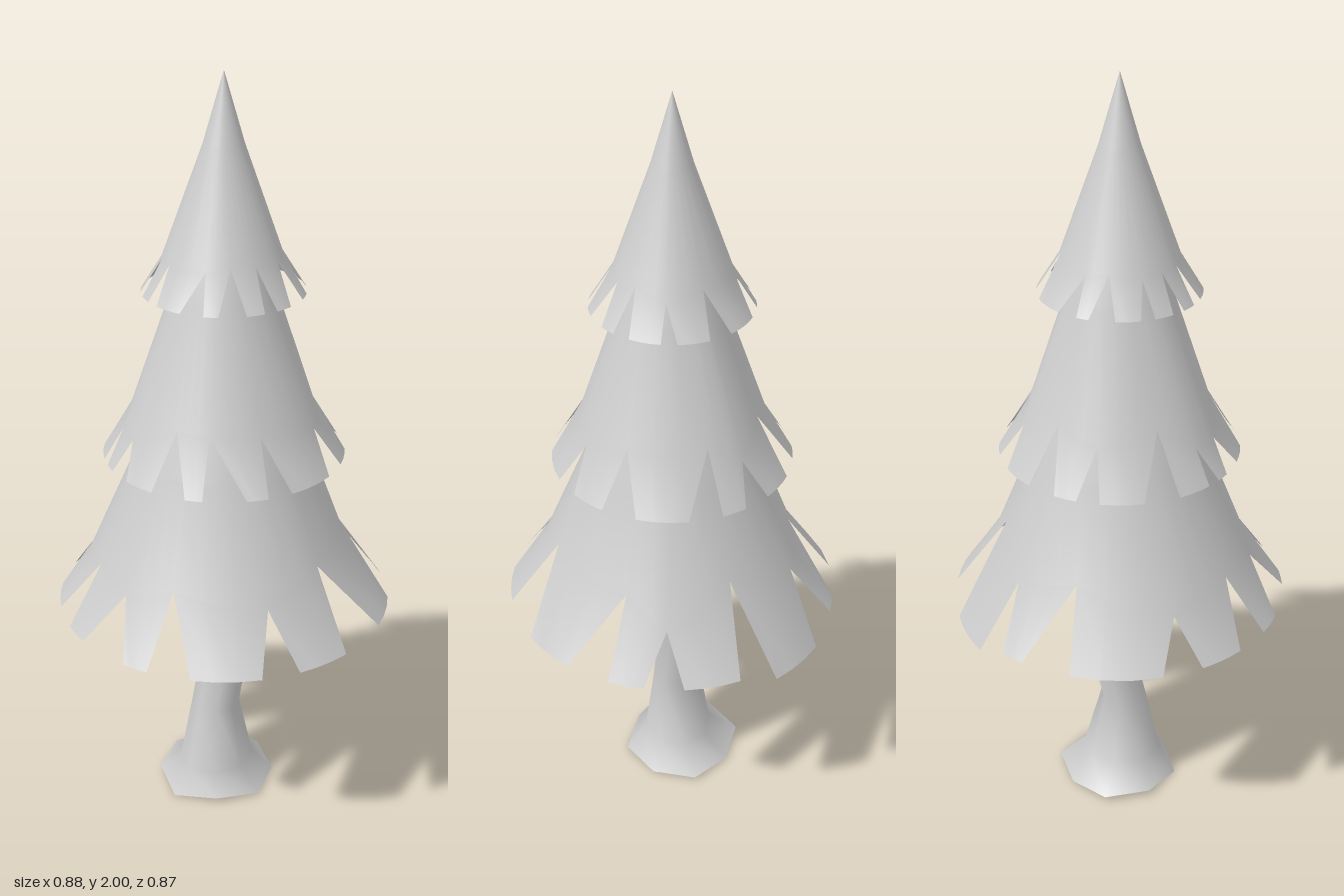
import * as THREE from 'three';

const material = new THREE.MeshStandardMaterial({ color: 0xcccccc, side: THREE.DoubleSide });
const lerp = THREE.MathUtils.lerp;

// Smooth skin over rows of points; each row runs round the y axis from +x towards +z, top row first.
function skin(name, rows) {
  const n = rows[0].length, index = [];
  for (let r = 0; r < rows.length - 1; r++) {
    for (let i = 0; i < n; i++) {
      const a = r * n + i, b = r * n + (i + 1) % n;
      index.push(a, b, a + n, b, b + n, a + n);
    }
  }
  const geometry = new THREE.BufferGeometry();
  geometry.setAttribute('position', new THREE.Float32BufferAttribute(rows.flat(2), 3));
  geometry.setIndex(index);
  geometry.computeVertexNormals();
  const mesh = new THREE.Mesh(geometry, material);
  mesh.name = name;
  return mesh;
}

const polar = (deg, r, y) => {
  const a = THREE.MathUtils.degToRad(deg);
  return [r * Math.cos(a), y, r * Math.sin(a)];
};

// A conical skirt whose hem is cut into tapering flaps.
// flaps: [tip start, tip end, angle of the notch that follows, notch radius, extra drop]
function foliageTier(name, { tipR, tipY, slope, profile, flaps }) {
  const group = new THREE.Group();
  group.name = name;
  const ring = [], hem = [], index = [], cols = 3;
  flaps.forEach(([a0, a1, notch, notchR, drop = 0], i) => {
    const prev = flaps[(i + flaps.length - 1) % flaps.length];
    const start = prev[2] - (i === 0 ? 360 : 0);
    for (let k = 0; k <= cols; k++) {
      const t = k / cols, r = lerp(prev[3], notchR, t);
      if (k < cols) ring.push(polar(lerp(start, notch, t), r, tipY + (tipR - r) * slope));
      hem.push(polar(lerp(a0, a1, t), tipR, tipY - drop));
    }
  });
  // Body rows from the apex down to the notch ring
  const rows = profile.map(([r, y]) => ring.map(([x, , z]) => {
    const len = Math.hypot(x, z);
    return [x / len * r, y, z / len * r];
  }));
  const points = [...rows.flat(), ...ring, ...hem];
  const n = ring.length, top = rows.length * n, low = top + n;
  for (let r = 0; r < rows.length; r++) {
    for (let i = 0; i < n; i++) {
      const a = r * n + i, b = r * n + (i + 1) % n;
      if (r > 0) index.push(a, b, a + n);
      index.push(b, b + n, a + n);
    }
  }
  // Hanging flaps
  flaps.forEach((_, f) => {
    for (let k = 0; k < cols; k++) {
      const u = top + f * cols + k, v = top + (f * cols + k + 1) % n;
      const l = low + f * (cols + 1) + k;
      index.push(u, v, l, v, l + 1, l);
    }
  });
  const geometry = new THREE.BufferGeometry();
  geometry.setAttribute('position', new THREE.Float32BufferAttribute(points.flat(), 3));
  geometry.setIndex(index);
  geometry.computeVertexNormals();
  const mesh = new THREE.Mesh(geometry, material);
  mesh.name = name + 'Skirt';
  group.add(mesh);
  return group;
}

export function createModel() {
  const tree = new THREE.Group();
  tree.name = 'pineTree';

  // Crooked trunk with a flared foot: [y, centre x, centre z, radius x, radius z]
  const sections = [
    [1.2, -0.01, 0.0, 0.04, 0.04], [0.8, -0.015, 0.005, 0.06, 0.06],
    [0.62, -0.018, -0.012, 0.063, 0.063], [0.45, -0.018, -0.033, 0.064, 0.063],
    [0.26, -0.017, 0.016, 0.068, 0.063], [0.075, -0.018, 0.012, 0.095, 0.108],
  ];
  const sides = 8;
  const trunkRows = sections.map(([y, cx, cz, rx, rz]) => Array.from({ length: sides }, (_, i) => {
    const a = i / sides * Math.PI * 2;
    return [cx + rx * Math.cos(a), y, cz + rz * Math.sin(a)];
  }));
  // Uneven root edge
  const rootScale = [1, 0.93, 1, 0.97, 1, 0.9, 1, 0.95];
  const foot = rootScale.map((s, i) => {
    const a = i / sides * Math.PI * 2;
    return [-0.03 + 0.165 * s * Math.cos(a), 0.01 - 0.01 * Math.cos(a * 2 + 1) * Math.cos(a), 0.168 * s * Math.sin(a)];
  });
  foot[2][1] = 0;
  trunkRows.push(foot);
  tree.add(skin('trunk', trunkRows));
  tree.add(skin('trunkBase', [foot, foot.map(() => [-0.03, 0.015, 0])]));

  // Three tiers of branches
  tree.add(foliageTier('lowerBranches', {
    tipR: 0.44, tipY: 0.615, slope: 1.46, profile: [[0, 1.6], [0.11, 1.38], [0.225, 1.04]],
    flaps: [
      [1, 20, 27, 0.346], [33, 56, 68, 0.323], [71, 80, 90, 0.35], [100, 110.5, 115, 0.338],
      [124, 140, 146, 0.36], [154, 184.5, 188, 0.313], [202, 210, 217, 0.339],
      [223, 245, 253.5, 0.3, 0.045], [259.5, 278.5, 284.6, 0.357], [292, 304, 304, 0.313],
      [320, 339.5, 356, 0.31],
    ],
  }));
  tree.add(foliageTier('middleBranches', {
    tipR: 0.31, tipY: 1.04, slope: 1.67, profile: [[0, 1.82], [0.06, 1.68], [0.13, 1.47]],
    flaps: [
      [-12, 13, 23, 0.233], [25, 35, 54, 0.229], [55, 63, 75, 0.228], [80, 96, 105, 0.261],
      [109, 116, 122, 0.26], [123, 140, 144, 0.222], [157, 177, 181, 0.241], [188, 199, 210, 0.22],
      [214, 233, 240, 0.253], [247, 259, 260, 0.224], [275, 299, 311, 0.227], [316, 334, 341, 0.248],
    ],
  }));
  tree.add(foliageTier('topBranches', {
    tipR: 0.204, tipY: 1.47, slope: 1.6, profile: [[0, 2], [0.05, 1.83]],
    flaps: [
      [-6, 7, 14, 0.144], [17, 30, 39, 0.142], [49, 59, 62, 0.148], [76, 97, 105, 0.15],
      [108, 120, 127, 0.15], [130, 144, 148, 0.153], [154, 171, 178, 0.145], [189, 198, 200, 0.15],
      [213, 240, 252, 0.142], [257, 279, 288, 0.153], [290, 312, 320, 0.138], [325, 337, 344, 0.146],
    ],
  }));
  return tree;
}
